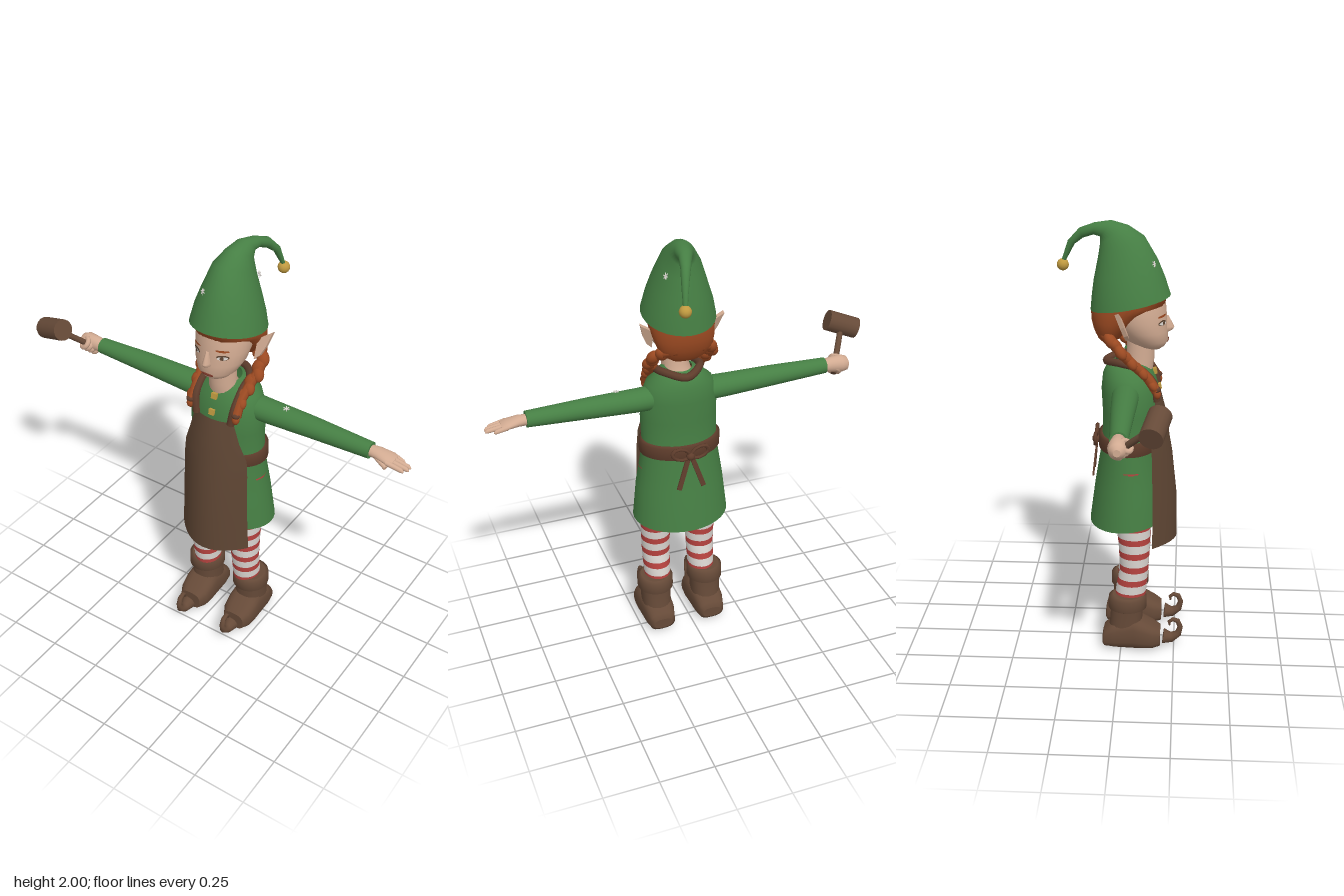
import * as THREE from 'three';

const mat = (name, color, side = THREE.FrontSide) => {
  const m = new THREE.MeshStandardMaterial({ color, side });
  m.name = name;
  return m;
};
const V = (x, y, z) => new THREE.Vector3(x, y, z);
const CX = 0.033; // body centre line

// Skin through elliptical rings [cx, rx, yFront, zFront, yBack, zBack]; p < 1 squares the section
function loft(rings, { n = 24, p = 1, caps = true } = {}) {
  const pos = [], idx = [];
  const pw = (t) => Math.sign(t) * Math.abs(t) ** p;
  const addRing = ([cx, rx, yf, zf, yb, zb]) => {
    for (let j = 0; j < n; j++) {
      const a = (j / n) * Math.PI * 2, c = pw(Math.cos(a)), s = pw(Math.sin(a));
      pos.push(cx - rx * c, (yf + yb) / 2 + (s * (yf - yb)) / 2, (zf + zb) / 2 + (s * (zf - zb)) / 2);
    }
  };
  rings.forEach(addRing);
  for (let i = 0; i < rings.length - 1; i++) {
    for (let j = 0; j < n; j++) {
      const a = i * n + j, b = i * n + ((j + 1) % n);
      idx.push(a, b, a + n, b, b + n, a + n);
    }
  }
  if (caps) [rings[0], rings[rings.length - 1]].forEach((r, end) => {
    const base = pos.length / 3;
    addRing(r);
    pos.push(r[0], (r[2] + r[4]) / 2, (r[3] + r[5]) / 2);
    for (let j = 0; j < n; j++) {
      const a = base + j, b = base + ((j + 1) % n);
      end ? idx.push(a, b, base + n) : idx.push(b, a, base + n);
    }
  });
  const g = new THREE.BufferGeometry();
  g.setAttribute('position', new THREE.Float32BufferAttribute(pos, 3));
  g.setIndex(idx);
  g.computeVertexNormals();
  return g;
}
// Level rings [y, rx, zFront, zBack]
const level = (rows, cx = CX) => rows.map(([y, rx, zf, zb]) => [cx, rx, y, zf, y, zb]);

export function createModel() {
  const model = new THREE.Group();
  model.name = 'workshopElf';
  const D = THREE.DoubleSide;
  const green = mat('green cloth', 0x467f44, D), brown = mat('apron brown', 0x5e4533, D);
  const leather = mat('boot leather', 0x664a38), strapMat = mat('strap brown', 0x5f3d2c);
  const skin = mat('skin', 0xd2ab92), hair = mat('red hair', 0x9c4a22), red = mat('stripe red', 0xb94440);
  const white = mat('white', 0xdcd7d2, D), gold = mat('gold', 0xc09a40), lip = mat('lips', 0x984836, D);
  const add = (name, geo, m, parent = model) => {
    const mesh = new THREE.Mesh(geo, m);
    mesh.name = name;
    parent.add(mesh);
    return mesh;
  };
  const ball = (name, r, m, x, y, z, sx = 1, sy = 1, sz = 1) => {
    const b = add(name, new THREE.SphereGeometry(r, 16, 12), m);
    b.position.set(x, y, z);
    b.scale.set(sx, sy, sz);
    return b;
  };
  const rod = (name, a, b, r, m, seg = 12) => {
    const c = add(name, new THREE.CylinderGeometry(r, r, a.distanceTo(b), seg), m);
    c.position.copy(a).lerp(b, 0.5);
    c.quaternion.setFromUnitVectors(V(0, 1, 0), b.clone().sub(a).normalize());
    return c;
  };

  // Tunic, open at the hem
  add('tunic', loft([[CX, 0.226, 0.64, 0.2, 0.612, -0.15], ...level([
    [0.8, 0.207, 0.19, -0.125], [1.0, 0.175, 0.155, -0.092], [1.15, 0.178, 0.17, -0.09], [1.25, 0.175, 0.165, -0.095],
    [1.32, 0.152, 0.145, -0.088], [1.365, 0.1, 0.122, -0.068], [1.385, 0.06, 0.11, -0.03]])], { n: 32, caps: false }), green);
  add('belt', loft(level([[0.975, 0.175, 0.15, -0.095], [0.978, 0.19, 0.165, -0.108], [1.037, 0.19, 0.165, -0.11],
    [1.042, 0.175, 0.15, -0.095]]), { n: 32 }), strapMat);

  // Apron: curved sheet with rows [y, half width, z at centre, fall back at edge]
  const rows = [[0.53, 0.182, 0.255, 0.11], [0.75, 0.173, 0.25, 0.105], [0.95, 0.169, 0.228, 0.088],
    [1.03, 0.163, 0.214, 0.077], [1.12, 0.13, 0.203, 0.055], [1.225, 0.1, 0.175, 0.025]];
  const sheet = new THREE.PlaneGeometry(2, 1, 12, rows.length - 1), sp = sheet.attributes.position;
  for (let i = 0; i < sp.count; i++) {
    const u = sp.getX(i), [y, w, z, d] = rows[Math.round((sp.getY(i) + 0.5) * (rows.length - 1))];
    sp.setXYZ(i, CX + u * w, y, z - d * u * u);
  }
  sheet.computeVertexNormals();
  add('apron', sheet, brown);
  const strapHalf = [[0.088, 1.215, 0.155], [0.1, 1.3, 0.142], [0.1, 1.365, 0.08], [0.088, 1.385, 0.0]];
  const strapPath = new THREE.CatmullRomCurve3([...strapHalf.map(([x, y, z]) => V(CX - x, y, z)), V(CX, 1.375, -0.072),
    ...strapHalf.reverse().map(([x, y, z]) => V(CX + x, y, z))]);
  add('apronNeckStrap', new THREE.TubeGeometry(strapPath, 48, 0.018, 8), strapMat);
  [1.33, 1.257].forEach((y, i) => {
    const b = add('button', new THREE.BoxGeometry(0.026, 0.026, 0.016), gold);
    b.position.set(CX, y, i ? 0.166 : 0.146);
    b.rotation.x = -0.2;
  });

  // Bow at the back
  for (const s of [-1, 1]) {
    const loop = add('bowLoop', new THREE.TorusGeometry(0.034, 0.009, 6, 10), strapMat);
    loop.position.set(CX + s * 0.045, 1.015, -0.12);
    loop.scale.set(1.25, 0.8, 1);
    loop.rotation.z = s * 0.35;
    const tail = add('bowTail', new THREE.BoxGeometry(0.022, 0.17, 0.008), strapMat);
    tail.position.set(CX + s * 0.032, 0.92, -0.124);
    tail.rotation.set(0.1, 0, s * 0.32);
  }
  ball('bowKnot', 0.02, strapMat, CX, 1.0, -0.12);

  // Arms: rows [distance, y, ry, z, rz] running outward along x
  const limb = (name, s, r, m) => {
    add(name, loft(r.map(([d, y, ry, z, rz]) => [-s * y, ry, d, z + rz, d, z - rz])), m).rotation.z = (-s * Math.PI) / 2;
  };
  limb('leftSleeve', 1, [[0.1, 1.253, 0.055, 0.02, 0.062], [0.25, 1.253, 0.052, 0.02, 0.058], [0.45, 1.257, 0.047, 0.02, 0.05],
    [0.735, 1.258, 0.036, 0.022, 0.038]], green);
  limb('rightSleeve', -1, [[0.04, 1.253, 0.055, 0.02, 0.062], [0.19, 1.253, 0.052, 0.02, 0.058], [0.4, 1.257, 0.047, 0.02, 0.05],
    [0.68, 1.258, 0.036, 0.022, 0.038]], green);
  limb('leftHand', 1, [[0.72, 1.256, 0.025, 0.02, 0.025], [0.77, 1.258, 0.023, 0.02, 0.034], [0.82, 1.252, 0.018, 0.02, 0.042],
    [0.845, 1.248, 0.011, 0.02, 0.04]], skin);
  [0.87, 0.905, 0.905, 0.89].forEach((x, i) =>
    limb('finger', 1, [[0.82, 1.251, 0.012, -0.011 + i * 0.021, 0.012], [x, 1.238, 0.01, -0.007 + i * 0.019, 0.01],
      [x + 0.01, 1.234, 0.004, -0.007 + i * 0.019, 0.004]], skin));
  rod('thumb', V(0.765, 1.25, 0.04), V(0.825, 1.232, 0.063), 0.011, skin);
  limb('rightHand', -1, [[0.66, 1.257, 0.026, 0.022, 0.026], [0.71, 1.257, 0.036, 0.022, 0.032], [0.76, 1.255, 0.042, 0.022, 0.04],
    [0.79, 1.252, 0.034, 0.022, 0.034], [0.802, 1.25, 0.015, 0.022, 0.015]], skin);

  // Mallet gripped by the right hand
  const grip = V(-0.735, 1.235, 0.025), malletCentre = V(-0.835, 1.375, 0.172);
  const along = malletCentre.clone().sub(grip).normalize(), axis = V(0.13, 0.048, 0.03).normalize();
  rod('malletHandle', grip.clone().addScaledVector(along, -0.03), malletCentre, 0.014, leather, 10);
  rod('malletHead', malletCentre.clone().addScaledVector(axis, -0.074), malletCentre.clone().addScaledVector(axis, 0.074), 0.049, leather, 16);
  for (let i = 0; i < 4; i++) {
    const f = add('grippingFinger', new THREE.TorusGeometry(0.024, 0.012, 8, 14), skin);
    f.position.copy(grip).addScaledVector(along, -0.012 + i * 0.02);
    f.quaternion.setFromUnitVectors(V(0, 0, 1), along);
  }

  // Striped legs and curled boots
  const legRows = [[0.22, 0.06, 0.11, -0.03], [0.3, 0.064, 0.118, -0.025], [0.4, 0.067, 0.127, -0.006], [0.52, 0.07, 0.133, -0.012],
    [0.65, 0.076, 0.137, -0.027], [0.9, 0.08, 0.12, -0.05]];
  const sample = (table, y) => {
    const k = Math.max(1, table.findIndex((r) => r[0] >= y)), a = table[k - 1], b = table[k];
    return a.map((v, i) => (i ? v + ((b[i] - v) * (y - a[0])) / (b[0] - a[0]) : y));
  };
  const curl = [[0.05, 0.2, 0.036], [0.045, 0.24, 0.024], [0.065, 0.27, 0.017], [0.1, 0.28, 0.013], [0.132, 0.268, 0.012],
    [0.14, 0.245, 0.01], [0.126, 0.227, 0.008], [0.108, 0.23, 0.004]];
  for (const s of [-1, 1]) {
    const lx = CX + s * 0.112, bx = CX + s * 0.127, side = s > 0 ? 'left' : 'right';
    const band = (y0, y1, m) => add(side + 'Stocking', loft(level([y0, y1].map((y) => sample(legRows, y)), lx), { caps: false }), m);
    for (let k = 0; k < 6; k++) {
      const y = 0.256 + k * 0.0705;
      band(y, y + 0.03, red);
      if (k < 5) band(y + 0.03, y + 0.0705, white);
    }
    band(0.638, 0.9, red);
    add(side + 'BootShaft', loft(level([[0.06, 0.07, 0.1, -0.065], [0.15, 0.07, 0.1, -0.05], [0.22, 0.073, 0.104, -0.048]], bx), { p: 0.85 }), leather);
    add(side + 'BootCuff', loft(level([[0.2, 0.072, 0.1, -0.045], [0.208, 0.085, 0.12, -0.06], [0.262, 0.085, 0.12, -0.058],
      [0.272, 0.07, 0.105, -0.04]], bx)), leather);
    const foot = [[-0.086, 0.045, 0.02, 0.07], [-0.078, 0.062, 0.008, 0.1], [-0.03, 0.074, 0.003, 0.14], [0.06, 0.079, 0, 0.165],
      [0.1, 0.08, 0, 0.15], [0.15, 0.074, 0.002, 0.122], [0.185, 0.055, 0.01, 0.1]];
    add(side + 'BootFoot', loft(foot.map(([z, rx, y0, y1]) => [bx, rx, y0, z, y1, z]), { p: 0.7 }), leather);
    add(side + 'BootCurl', loft(curl.map(([y, z, r], i) => {
      const a = curl[Math.max(0, i - 1)], b = curl[Math.min(curl.length - 1, i + 1)];
      const l = Math.hypot(b[0] - a[0], b[1] - a[1]), oy = (-(b[1] - a[1]) / l) * r, oz = ((b[0] - a[0]) / l) * r;
      return [bx, r, y + oy, z + oz, y - oy, z - oz];
    }), { n: 12 }), leather);
  }

  // Head and neck
  const headRows = [[1.435, 0.03, 0.168, 0.1], [1.45, 0.062, 0.187, 0.06], [1.475, 0.088, 0.203, 0.02], [1.52, 0.112, 0.2, -0.02],
    [1.57, 0.121, 0.197, -0.06], [1.63, 0.124, 0.192, -0.09], [1.7, 0.11, 0.18, -0.09]];
  add('neck', loft(level([[1.34, 0.07, 0.135, -0.01], [1.39, 0.06, 0.142, 0.02], [1.5, 0.06, 0.145, 0.02]])), skin);
  add('head', loft(level(headRows), { n: 32 }), skin);
  add('nose', loft(level([[1.513, 0.01, 0.208, 0.17], [1.522, 0.019, 0.222, 0.17], [1.535, 0.016, 0.229, 0.17], [1.585, 0.008, 0.203, 0.17]]), { n: 12 }), skin);

  // Face details laid onto the head surface
  const decal = (name, m, dx, y, w, h, tilt = 0, lift = 0.002) => {
    const g = new THREE.CircleGeometry(1, 20).scale(w, h, 1).rotateZ(tilt).translate(dx, y, 0), p = g.attributes.position;
    for (let i = 0; i < p.count; i++) {
      const [, rx, zf, zb] = sample(headRows, p.getY(i));
      p.setXYZ(i, p.getX(i) + CX, p.getY(i), (zf + zb) / 2 + ((zf - zb) / 2) * Math.sqrt(1 - (p.getX(i) / rx) ** 2) + lift);
    }
    g.computeVertexNormals();
    add(name, g, m);
  };
  decal('mouth', lip, 0, 1.475, 0.032, 0.009, 0, 0.003);
  for (const s of [-1, 1]) {
    decal('eyeLine', brown, s * 0.064, 1.567, 0.023, 0.012, -s * 0.1);
    decal('eyeWhite', white, s * 0.064, 1.565, 0.02, 0.008, 0, 0.004);
    decal('iris', brown, s * 0.063, 1.566, 0.007, 0.008, 0, 0.006);
    decal('eyebrow', hair, s * 0.062, 1.597, 0.026, 0.005, -s * 0.12, 0.003);
    // Pointed ear
    const shape = new THREE.Shape([[0, 0], [0.025, 0.025], [0.045, 0.07], [0.064, 0.14], [0.03, 0.115], [0, 0.09]]
      .map(([x, y]) => new THREE.Vector2(s * x, y)));
    const ear = add('ear', new THREE.ExtrudeGeometry(shape, { depth: 0.018, bevelEnabled: false }), skin);
    ear.position.set(CX + s * 0.127, 1.5, 0.02);
    ear.rotation.x = -0.33;
    // Swept strand, braid, tie and tuft
    const path = new THREE.CatmullRomCurve3([[0.05, 1.53, -0.1], [0.11, 1.5, -0.05], [0.138, 1.45, 0.0], [0.125, 1.39, 0.055],
      [0.115, 1.33, 0.115], [0.118, 1.27, 0.155]].map(([x, y, z]) => V(CX + s * x, y, z)));
    add('sweptStrand', new THREE.TubeGeometry(path, 30, 0.022, 8), hair);
    for (let i = 0; i < 9; i++) {
      const t = 0.22 + i * 0.088, c = path.getPointAt(t);
      const knot = ball('braidKnot', 0.033 - i * 0.0012, hair, c.x + (i % 2 ? 0.007 : -0.007), c.y, c.z, 0.9, 1.2, 0.8);
      knot.rotation.set(-0.6, 0, i % 2 ? 0.4 : -0.4);
    }
    const end = path.getPointAt(1);
    ball('braidTie', 0.021, strapMat, end.x, end.y + 0.008, end.z, 1, 0.7, 1);
    ball('braidTuft', 0.019, hair, end.x, end.y - 0.014, end.z + 0.004, 0.9, 1.2, 0.9);
  }
  add('hairCap', loft(level([[1.465, 0.06, -0.04, -0.085], [1.49, 0.1, -0.005, -0.11], [1.53, 0.126, 0.03, -0.128], [1.57, 0.138, 0.075, -0.138],
    [1.61, 0.145, 0.13, -0.14], [1.64, 0.147, 0.187, -0.138], [1.69, 0.146, 0.2, -0.13]]), { n: 32 }), hair);

  // Hat with drooping tip and bell
  add('hat', loft([[CX, 0.163, 1.68, 0.212, 1.61, -0.142], [CX, 0.147, 1.76, 0.185, 1.675, -0.136], [CX, 0.122, 1.837, 0.153, 1.745, -0.127],
    [CX, 0.087, 1.935, 0.095, 1.845, -0.107], [0.038, 0.058, 1.98, 0.025, 1.905, -0.098], [0.045, 0.042, 2.0, -0.05, 1.93, -0.1],
    [0.058, 0.03, 1.987, -0.125, 1.935, -0.128], [0.078, 0.023, 1.96, -0.192, 1.917, -0.175], [0.097, 0.017, 1.9, -0.245, 1.885, -0.215],
    [0.11, 0.01, 1.81, -0.275, 1.81, -0.255]], { n: 28 }), green);
  ball('hatBell', 0.027, gold, 0.112, 1.79, -0.27);

  // Small snowflakes
  [[-0.025, 1.825, 0.139, -0.4, 0.3, 0.85], [0.095, 1.935, -0.01, 0.8, 0.6, 0], [0.121, 1.86, -0.06, 0.9, 0.4, -0.3],
    [0.325, 1.309, 0.03, 0, 1, 0.15]].forEach(([x, y, z, nx, ny, nz]) => {
    const flake = new THREE.Group();
    flake.name = 'snowflake';
    for (let i = 0; i < 3; i++) add('flakeBar', new THREE.BoxGeometry(0.028, 0.004, 0.004), white, flake).rotation.z = (i * Math.PI) / 3;
    flake.position.set(x, y, z);
    flake.lookAt(x + nx, y + ny, z + nz);
    model.add(flake);
  });
  return model;
}
